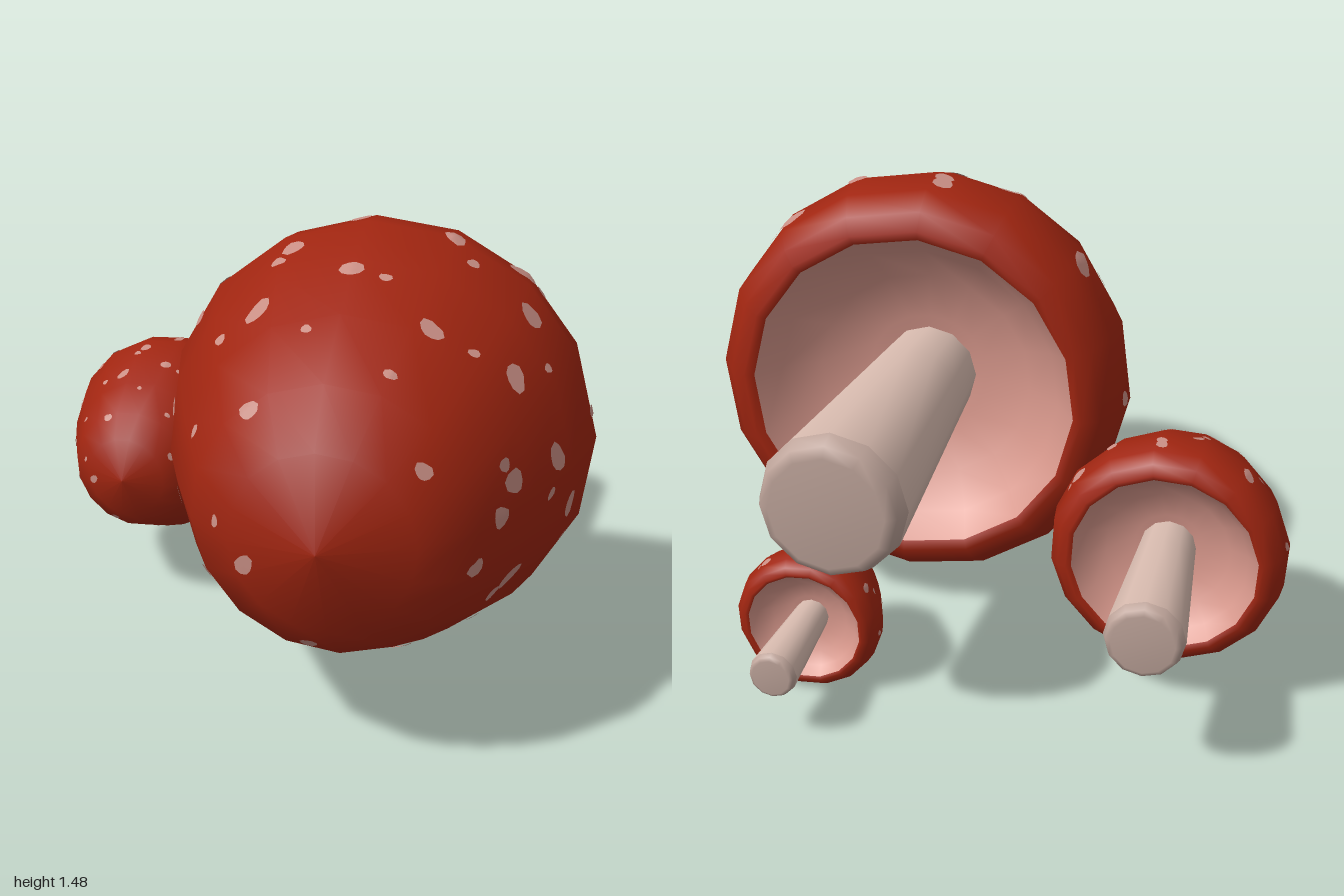
import * as THREE from 'three';

const SIDES = 16;
const STEP = (Math.PI * 2) / SIDES;

// Profiles as [radius, distance along the mushroom axis]
const CAP = [[0.535, 0.015], [0.565, 0], [0.62, 0.035], [0.672, 0.11], [0.69, 0.26],
  [0.63, 0.48], [0.53, 0.72], [0.41, 0.97], [0.265, 1.11], [0, 1.18]];
const CUP = [[0, 0.27], [0.2, 0.25], [0.36, 0.2], [0.47, 0.11], [0.535, 0.015]];
const STEM = [[0.218, 0.07], [0.174, 0.82], [0.16, 1.07]];
const STEM_END = [[0, 0], [0.17, 0], [0.2, 0.02], [0.218, 0.07]];

// Large spots as [angle in degrees, height on the cap, radius]
const LARGE_SPOTS = [
  [47, 0.17, 0.05], [40, 0.37, 0.042], [62, 0.69, 0.036], [33, 0.61, 0.042],
  [67, 0.26, 0.038], [8, 0.79, 0.04], [-1, 0.87, 0.036], [5, 0.56, 0.042],
  [-14, 0.43, 0.04], [-31, 0.69, 0.046], [137, 0.19, 0.044], [93, 0.18, 0.036],
  [109, 0.35, 0.036], [118, 0.61, 0.044], [90, 0.53, 0.034], [122, 0.98, 0.03],
  [196, 1.12, 0.03],
];

// Small spots spread around the cap by the golden angle
function smallSpots(count) {
  return Array.from({ length: count }, (_, i) => [
    40 + i * 137.508, 0.15 + 0.93 * ((i + 0.5) / count) ** 1.1, 0.024 + 0.007 * Math.sin(i * 2.3),
  ]);
}

// Lathe turned so that its axis runs along z
function turned(profile, sides, material, name) {
  const geo = new THREE.LatheGeometry(profile.map(([r, h]) => new THREE.Vector2(r, h)), sides);
  const mesh = new THREE.Mesh(geo.rotateX(Math.PI / 2), material);
  mesh.name = name;
  return mesh;
}

// Radius of the outer cap at a given height, with the slope of its profile
function capAt(h) {
  let i = 2;
  while (i < CAP.length - 1 && h > CAP[i][1]) i++;
  const [r0, h0] = CAP[i - 1], [r1, h1] = CAP[i];
  return { r: r0 + ((r1 - r0) * (h - h0)) / (h1 - h0), dr: r1 - r0, dh: h1 - h0 };
}

// Point lying just above the faceted cap surface
function surfacePoint(angle, h) {
  const { r, dr, dh } = capAt(h);
  const offset = (((angle % STEP) + STEP) % STEP) - STEP / 2;
  const flat = (r * Math.cos(STEP / 2)) / Math.cos(offset);
  const lift = 0.006 / Math.hypot(dr, dh);
  const radius = flat + dh * lift;
  return [radius * Math.cos(angle), radius * Math.sin(angle), h - dr * lift];
}

// All spots of one cap: irregular rounded patches bent over the surface
function spotGeometry() {
  const positions = [], index = [];
  const corners = 10;
  [...LARGE_SPOTS, ...smallSpots(36)].forEach(([degrees, h, size], n) => {
    const angle = THREE.MathUtils.degToRad(degrees);
    const { r, dr, dh } = capAt(h);
    const along = dh / Math.hypot(dr, dh);
    const base = positions.length / 3;
    positions.push(...surfacePoint(angle, h));
    for (const ring of [0.5, 1]) {
      for (let k = 0; k < corners; k++) {
        const t = (k / corners) * Math.PI * 2;
        const radius = size * ring * (1 + 0.14 * Math.sin(2 * t + n) + 0.08 * Math.sin(3 * t + n * 2));
        positions.push(...surfacePoint(angle + (radius * Math.cos(t)) / r, h + radius * Math.sin(t) * along));
      }
    }
    for (let k = 0; k < corners; k++) {
      const a = base + 1 + k, b = base + 1 + ((k + 1) % corners);
      index.push(base, a, b, a, a + corners, b + corners, a, b + corners, b);
    }
  });
  const geo = new THREE.BufferGeometry();
  geo.setAttribute('position', new THREE.Float32BufferAttribute(positions, 3));
  geo.setIndex(index);
  geo.computeVertexNormals();
  return geo;
}

export function createModel() {
  const paint = (name, color, side = THREE.FrontSide) => {
    const material = new THREE.MeshStandardMaterial({ color, side });
    material.name = name;
    return material;
  };
  const red = paint('cap red', 0xa02510);
  const pink = paint('underside pink', 0xd8988c);
  const cream = paint('stem cream', 0xd9bcb0);
  const dusk = paint('stem end taupe', 0xbda399);
  const pale = paint('spot pink', 0xc98f85, THREE.DoubleSide);
  const spots = spotGeometry();

  // One mushroom lying on its side, cap towards +z
  function mushroom(name, x, y, scale, roll, tilt) {
    const group = new THREE.Group();
    group.name = name;
    group.position.set(x, y, -1);
    group.scale.setScalar(scale);
    group.add(turned(STEM, 12, cream, 'stem'), turned(STEM_END, 12, dusk, 'stemEnd'));

    const cap = new THREE.Group();
    cap.name = 'cap';
    cap.position.z = 0.82;
    cap.rotation.set(0, tilt, roll);
    const patches = new THREE.Mesh(spots, pale);
    patches.name = 'capSpots';
    cap.add(turned(CAP, SIDES, red, 'capOuter'), turned(CUP, SIDES, pink, 'capUnderside'), patches);
    group.add(cap);
    return group;
  }

  const model = new THREE.Group();
  model.name = 'mushroomCluster';
  model.add(
    mushroom('largeMushroom', 0.27, 0.795, 1, 0.065, 0.024),
    mushroom('mediumMushroom', -0.615, 0.505, 0.525, -0.14, -0.02),
    mushroom('smallMushroom', 0.467, 0.235, 0.335, 0.15, 0.024),
  );
  return model;
}
